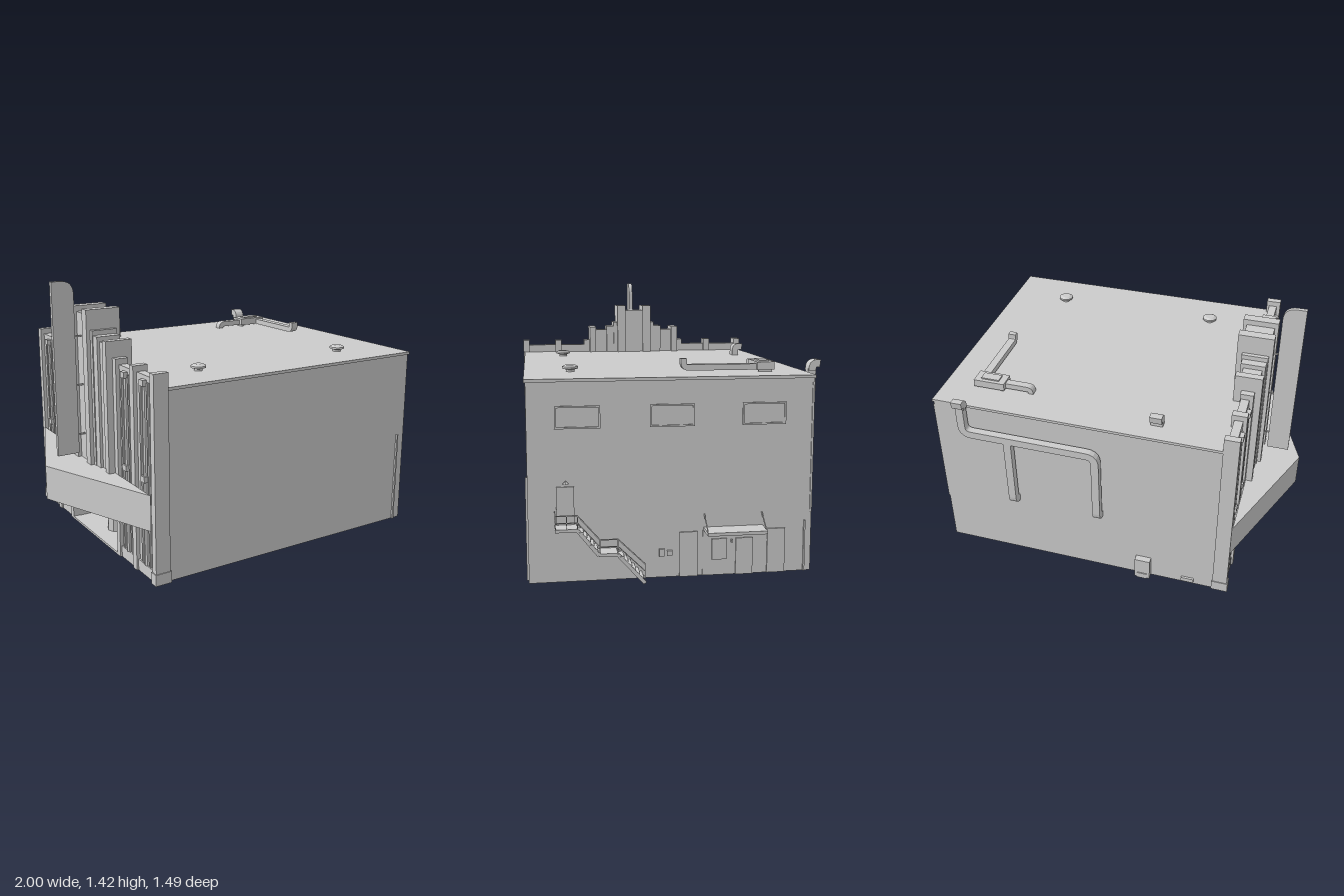
import * as THREE from 'three';

const mat = new THREE.MeshStandardMaterial({ color: 0xcccccc, flatShading: true, side: THREE.DoubleSide });
const CZ = 0.037; // centre line of the facade

function add(parent, name, geo) {
  const m = new THREE.Mesh(geo, mat);
  m.name = name;
  parent.add(m);
  return m;
}

// Box given by its limits
function box(parent, name, x0, x1, y0, y1, z0, z1) {
  const m = add(parent, name, new THREE.BoxGeometry(x1 - x0, y1 - y0, z1 - z0));
  m.position.set((x0 + x1) / 2, (y0 + y1) / 2, (z0 + z1) / 2);
  return m;
}

// Square bar between two points
function bar(parent, name, p, q, w = 0.004, h = w) {
  const a = new THREE.Vector3(...p), b = new THREE.Vector3(...q);
  const m = add(parent, name, new THREE.BoxGeometry(w, h, a.distanceTo(b)));
  m.position.copy(a).lerp(b, 0.5);
  m.lookAt(b);
  return m;
}

// Flat duct along 2D points with rounded corners, centred in depth
function ductGeo(points, width, depth, r = 0.035) {
  const P = points.map(p => new THREE.Vector2(...p));
  const path = [P[0]];
  for (let i = 1; i < P.length - 1; i++) {
    const a = P[i].clone().add(P[i - 1].clone().sub(P[i]).setLength(r));
    const b = P[i].clone().add(P[i + 1].clone().sub(P[i]).setLength(r));
    path.push(...new THREE.QuadraticBezierCurve(a, P[i], b).getPoints(5));
  }
  path.push(P[P.length - 1]);
  const left = [], right = [];
  path.forEach((p, i) => {
    const t = path[Math.min(i + 1, path.length - 1)].clone().sub(path[Math.max(i - 1, 0)]).setLength(width / 2);
    left.push(new THREE.Vector2(p.x - t.y, p.y + t.x));
    right.unshift(new THREE.Vector2(p.x + t.y, p.y - t.x));
  });
  return new THREE.ExtrudeGeometry(new THREE.Shape([...left, ...right]), { depth, bevelEnabled: false })
    .translate(0, 0, -depth / 2);
}

// Duct in the z-y plane at a given x
function sideDuct(parent, name, x, points, width, depth, r) {
  add(parent, name, ductGeo(points, width, depth, r).rotateY(-Math.PI / 2)).position.x = x;
}

function shell(g) {
  box(g, 'frontWall', -0.66, 0.89, 0, 0.975, 0.72, 0.73);
  box(g, 'backWall', -0.66, 0.89, 0, 0.975, -0.665, -0.655);
  box(g, 'sideWall', 0.88, 0.89, 0, 0.975, -0.665, 0.73);
  box(g, 'roof', -0.67, 0.897, 0.97, 0.985, -0.67, 0.737);
  box(g, 'frontDrainpipe', 0.835, 0.845, 0, 0.51, 0.73, 0.74);
  box(g, 'sideDrainpipe', 0.89, 0.898, 0, 0.26, -0.634, -0.626);
  box(g, 'cornerPipe', 0.89, 0.896, 0.3, 0.95, -0.665, -0.655);
}

function facade(g) {
  // distance range from centre, x range, bottom, top
  const steps = [
    [0.055, 0.107, -0.79, -0.60, 0.4, 1.28],
    [0.107, 0.13, -0.77, -0.63, 0.4, 1.175],
    [0.13, 0.175, -0.765, -0.635, 0.4, 1.15],
    [0.175, 0.245, -0.75, -0.65, 0.4, 1.125],
    [0.245, 0.285, -0.77, -0.625, 0.4, 1.145],
    [0.285, 0.32, -0.735, -0.665, 0, 1.06],
    [0.32, 0.67, -0.715, -0.67, 0, 1.03],
    [0.465, 0.505, -0.735, -0.655, 0, 1.06],
    [0.67, 0.708, -0.735, -0.655, 0, 1.06],
    [0.665, 0.712, -0.74, -0.65, 0, 0.06],
    [0.32, 0.67, -0.725, -0.67, 0, 0.06],
  ];
  box(g, 'centreTower', -0.77, -0.62, 0.4, 1.25, CZ - 0.055, CZ + 0.055);
  box(g, 'entranceHeader', -0.735, -0.665, 0.27, 0.4, CZ - 0.285, CZ + 0.285);
  for (const s of [-1, 1]) {
    for (const [a, b, x0, x1, y0, y1] of steps) {
      const z0 = CZ + s * a, z1 = CZ + s * b;
      box(g, 'facadePier', x0, x1, y0, y1, Math.min(z0, z1), Math.max(z0, z1));
    }
    // ribs and half-round columns on the wing panels
    for (const d of [0.39, 0.585]) {
      add(g, 'halfColumn', new THREE.CylinderGeometry(0.016, 0.016, 0.95, 10))
        .position.set(-0.715, 0.535, CZ + s * d);
      for (const y of [0.5, 0.98]) box(g, 'columnCollar', -0.737, -0.71, y, y + 0.03, CZ + s * d - 0.02, CZ + s * d + 0.02);
      for (const e of [-0.038, 0.038])
        box(g, 'panelRib', -0.724, -0.71, 0.06, 1.0, CZ + s * d + e - 0.006, CZ + s * d + e + 0.006);
    }
  }
}

function entrance(g) {
  const z0 = CZ - 0.285, z1 = CZ + 0.285;
  box(g, 'lobbyFloor', -0.735, -0.45, 0, 0.012, z0, z1);
  box(g, 'lobbyCeiling', -0.7, -0.45, 0.26, 0.27, z0, z1);
  box(g, 'lobbyBackWall', -0.455, -0.445, 0, 0.27, z0, z1);
  for (const z of [z0, z1]) box(g, 'lobbySideWall', -0.7, -0.45, 0, 0.27, z - 0.004, z + 0.004);
  for (const d of [-0.2, -0.07, 0.07, 0.2]) {
    box(g, 'lobbyDoor', -0.463, -0.437, 0.012, 0.2, CZ + d - 0.055, CZ + d + 0.055);
    box(g, 'doorGlass', -0.467, -0.433, 0.06, 0.18, CZ + d - 0.038, CZ + d + 0.038);
  }
  const booth = add(g, 'ticketBooth', new THREE.CylinderGeometry(0.05, 0.05, 0.25, 8));
  booth.position.set(-0.6, 0.135, CZ);
}

function marquee(g) {
  // triangle drawn in x and -z, raised along y
  const tri = new THREE.Shape([[-1, -0.03], [-0.735, -0.7], [-0.735, 0.64]].map(p => new THREE.Vector2(...p)));
  const geo = new THREE.ExtrudeGeometry(tri, { depth: 0.185, bevelEnabled: false }).rotateX(-Math.PI / 2);
  add(g, 'marquee', geo).position.y = 0.27;
  // upright blade with one rounded corner
  const s = new THREE.Shape();
  s.moveTo(-0.93, 0.5).lineTo(-0.81, 0.5).lineTo(-0.81, 1.35);
  s.quadraticCurveTo(-0.81, 1.42, -0.88, 1.42).lineTo(-0.93, 1.42);
  add(g, 'bladeSign', new THREE.ExtrudeGeometry(s, { depth: 0.022, bevelEnabled: false, curveSegments: 8 }))
    .position.z = 0.024;
  for (const y of [0.6, 0.87, 1.13]) box(g, 'bladeBracket', -0.82, -0.765, y - 0.004, y + 0.004, 0.031, 0.039);
}

function roofGear(g) {
  const profile = [[0, 0], [0.022, 0], [0.022, 0.012], [0.04, 0.018], [0.04, 0.028], [0.025, 0.036], [0, 0.036]]
    .map(p => new THREE.Vector2(...p));
  for (const x of [-0.345, 0.565])
    add(g, 'roofVent', new THREE.LatheGeometry(profile, 16)).position.set(x, 0.983, 0.505);
  sideDuct(g, 'hoodVent', -0.295, [[-0.548, 0.98], [-0.548, 1.04], [-0.59, 1.035]], 0.036, 0.064, 0.025);
  box(g, 'airUnit', 0.555, 0.725, 0.995, 1.035, -0.51, -0.42);
  box(g, 'airUnitLid', 0.59, 0.69, 1.035, 1.042, -0.49, -0.44);
  for (const x of [0.565, 0.705]) box(g, 'airUnitFoot', x, x + 0.012, 0.98, 0.995, -0.5, -0.43);
  sideDuct(g, 'longRoofDuct', 0.69, [[-0.42, 1.01], [-0.05, 1.01], [-0.05, 1.055]], 0.03, 0.042, 0.025);
  add(g, 'shortRoofDuct', ductGeo([[0.56, 1.01], [0.415, 1.01], [0.415, 0.98]], 0.03, 0.04, 0.02)).position.z = -0.465;
}

function backDucts(g) {
  add(g, 'mainDuct', ductGeo([[-0.01, 0.46], [-0.01, 0.83], [0.72, 0.83], [0.72, 1.0]], 0.042, 0.04, 0.05)).position.z = -0.7;
  box(g, 'middleDrop', 0.449, 0.491, 0.46, 0.82, -0.72, -0.68);
  for (const x of [-0.01, 0.47])
    sideDuct(g, 'wallElbow', x, [[-0.7, 0.46], [-0.7, 0.402], [-0.66, 0.402]], 0.04, 0.042);
  sideDuct(g, 'gooseneck', 0.72, [[-0.7, 0.99], [-0.7, 1.03], [-0.74, 1.025]], 0.038, 0.058, 0.03);
  box(g, 'meterBox', -0.305, -0.22, 0.0, 0.13, -0.7, -0.66);
  box(g, 'meterBoxBase', -0.29, -0.235, 0, 0.035, -0.705, -0.66);
  box(g, 'lowVent', -0.55, -0.48, 0.015, 0.04, -0.677, -0.66);
  box(g, 'wallLight', 0.66, 0.69, 0.79, 0.81, -0.68, -0.66);
}

function sideDetails(g) {
  const X = 0.885;
  // shallow panel on the +x wall
  const panel = (name, z0, z1, y0, y1, out = 0.008) => box(g, name, X, 0.89 + out, y0, y1, z0, z1);
  for (const z of [0.49, 0.0375, -0.415]) {
    panel('windowPane', z - 0.1, z + 0.1, 0.757, 0.848, 0.002);
    for (const s of [-1, 1]) {
      panel('windowJamb', z + s * 0.104 - 0.004, z + s * 0.104 + 0.004, 0.748, 0.856);
      panel('windowRail', z - 0.108, z + 0.108, 0.802 + s * 0.05 - 0.004, 0.802 + s * 0.05 + 0.004);
    }
  }
  panel('upperDoor', 0.51, 0.595, 0.285, 0.47);
  const lamp = add(g, 'doorLamp', new THREE.ConeGeometry(0.015, 0.016, 8));
  lamp.position.set(0.908, 0.495, 0.55);
  panel('sidePanel', -0.09, 0, 0, 0.225);
  panel('sidePanel', -0.53, -0.44, 0, 0.225);
  panel('porchWall', -0.415, -0.115, 0, 0.23, 0.005);
  panel('ticketWindow', -0.235, -0.16, 0.08, 0.185, 0.012);
  panel('sideDoor', -0.365, -0.28, 0, 0.185, 0.012);
  panel('wallLamp', -0.265, -0.255, 0.165, 0.178, 0.015);
  panel('fuseBox', 0.075, 0.1, 0.107, 0.145, 0.012);
  panel('fuseBox', 0.035, 0.062, 0.11, 0.135, 0.012);
  box(g, 'canopy', 0.885, 0.998, 0.228, 0.244, -0.415, -0.12);
  for (const z of [-0.123, -0.411]) bar(g, 'canopyRod', [0.89, 0.31, z], [0.985, 0.244, z], 0.005);
}

function stairs(g) {
  const x0 = 0.89, x1 = 0.978;
  box(g, 'topPlatform', x0, x1, 0.27, 0.285, 0.5, 0.605);
  box(g, 'middleLanding', x0, x1, 0.145, 0.16, 0.31, 0.4);
  const flights = [[0.5, 0.278, 0.4, 0.152, 5], [0.31, 0.152, 0.18, 0.005, 6]];
  for (const [za, ya, zb, yb, n] of flights) {
    for (const x of [x0 + 0.004, x1 - 0.004]) bar(g, 'stringer', [x, ya, za], [x, yb, zb], 0.006, 0.018);
    for (let i = 1; i <= n; i++) {
      const t = i / (n + 1), z = za + (zb - za) * t, y = ya + (yb - ya) * t + 0.008;
      box(g, 'tread', x0, x1, y - 0.003, y + 0.003, z - 0.012, z + 0.012);
    }
  }
  // handrail line: z, floor height, rail height
  const posts = [[0.603, 0.28, 0.35], [0.55, 0.28, 0.35], [0.5, 0.28, 0.35], [0.395, 0.155, 0.228],
    [0.31, 0.155, 0.228], [0.18, 0, 0.1]];
  const x = x1 - 0.003;
  posts.forEach(([z, y, top], i) => {
    bar(g, 'railPost', [x, y, z], [x, top, z + 0.0001]);
    if (!i) return;
    const [pz, , pt] = posts[i - 1];
    bar(g, 'handrail', [x, pt, pz], [x, top, z], 0.005);
    bar(g, 'midRail', [x, pt - 0.035, pz], [x, top - 0.035, z]);
  });
  for (const y of [0.35, 0.315]) bar(g, 'endRail', [x0, y, 0.603], [x, y, 0.603]);
}

export function createModel() {
  const model = new THREE.Group();
  model.name = 'cinemaBuilding';
  const parts = { shell, facade, entrance, marquee, roofGear, backDucts, sideDetails, stairs };
  for (const [name, build] of Object.entries(parts)) {
    const g = new THREE.Group();
    g.name = name;
    build(g);
    model.add(g);
  }
  return model;
}
